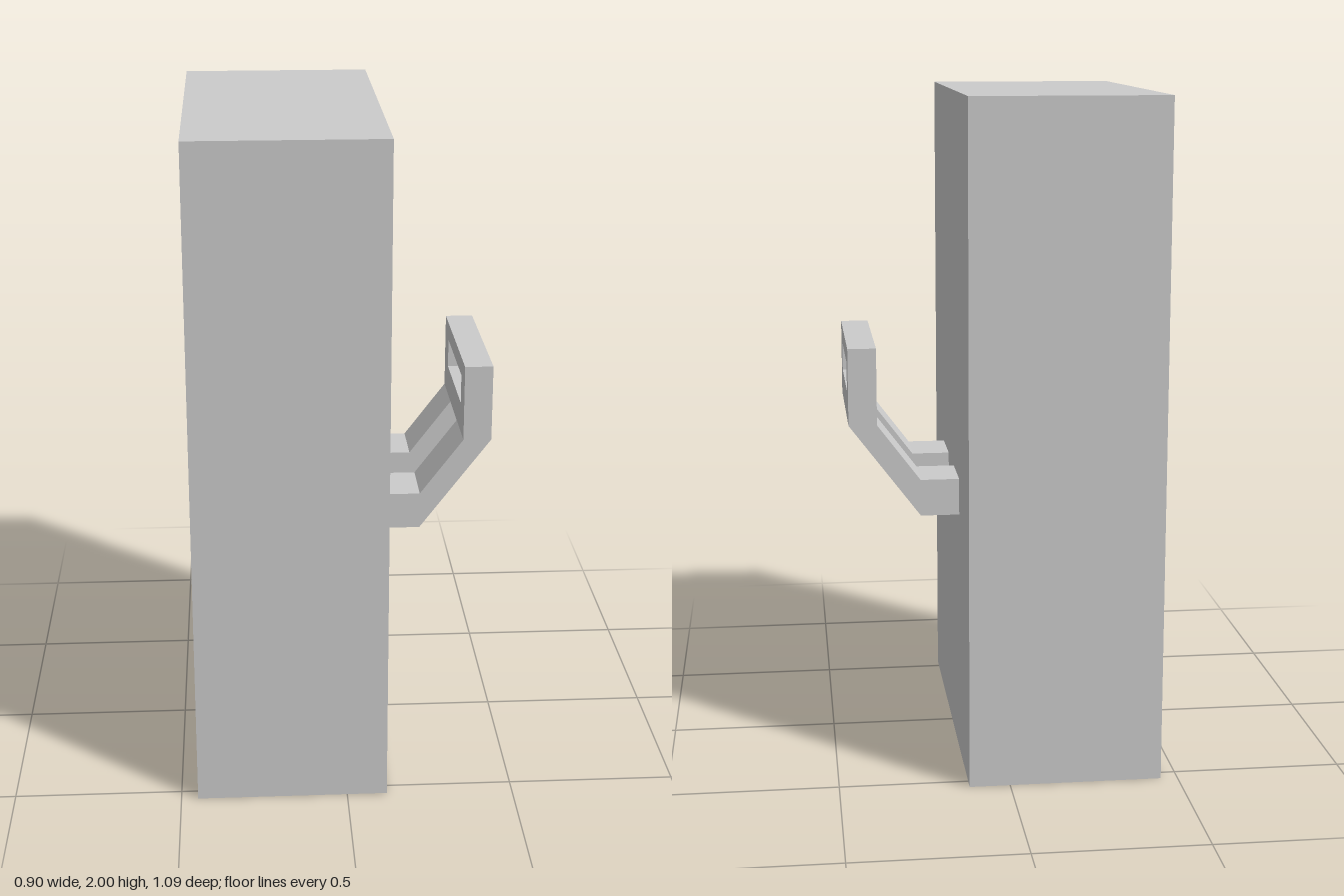
import * as THREE from 'three';

const material = new THREE.MeshStandardMaterial({ color: 0xcccccc, flatShading: true });

function addMesh(parent, name, geometry) {
  const mesh = new THREE.Mesh(geometry, material);
  mesh.name = name;
  parent.add(mesh);
  return mesh;
}

const toPoints = (pairs) => pairs.map(([x, y]) => new THREE.Vector2(x, y));
const rect = (w, y0, y1) => toPoints([[-w, y0], [w, y0], [w, y1], [-w, y1]]);
const extrude = (shape, depth) => new THREE.ExtrudeGeometry(shape, { depth, bevelEnabled: false });

export function createModel() {
  const model = new THREE.Group();
  model.name = 'blockWithHook';

  // Main upright block
  const block = addMesh(model, 'block', new THREE.BoxGeometry(0.57, 2, 1.085));
  block.position.set(-0.165, 1, 0);

  // Bracket on the left face
  const bracket = new THREE.Group();
  bracket.name = 'bracket';
  model.add(bracket);

  // Two bent arms: short flat foot, then a slope up to the plate
  const armProfile = new THREE.Shape(toPoints([
    [0.12, 0.75], [0.235, 0.75], [0.447, 1.03], [0.363, 1.03], [0.235, 0.86], [0.12, 0.86],
  ]));
  const armWidth = 0.171;
  for (const side of [1, -1]) {
    const arm = addMesh(bracket, side > 0 ? 'frontArm' : 'backArm', extrude(armProfile, armWidth));
    arm.position.z = side * 0.1705 - armWidth / 2;
  }

  // Upright plate with a slot through it, joining the arms
  const plateShape = new THREE.Shape(rect(0.256, 1.03, 1.26));
  plateShape.holes.push(new THREE.Path(rect(0.172, 1.118, 1.206)));
  const plate = addMesh(bracket, 'slottedPlate', extrude(plateShape, 0.084).rotateY(Math.PI / 2));
  plate.position.x = 0.363;

  return model;
}
